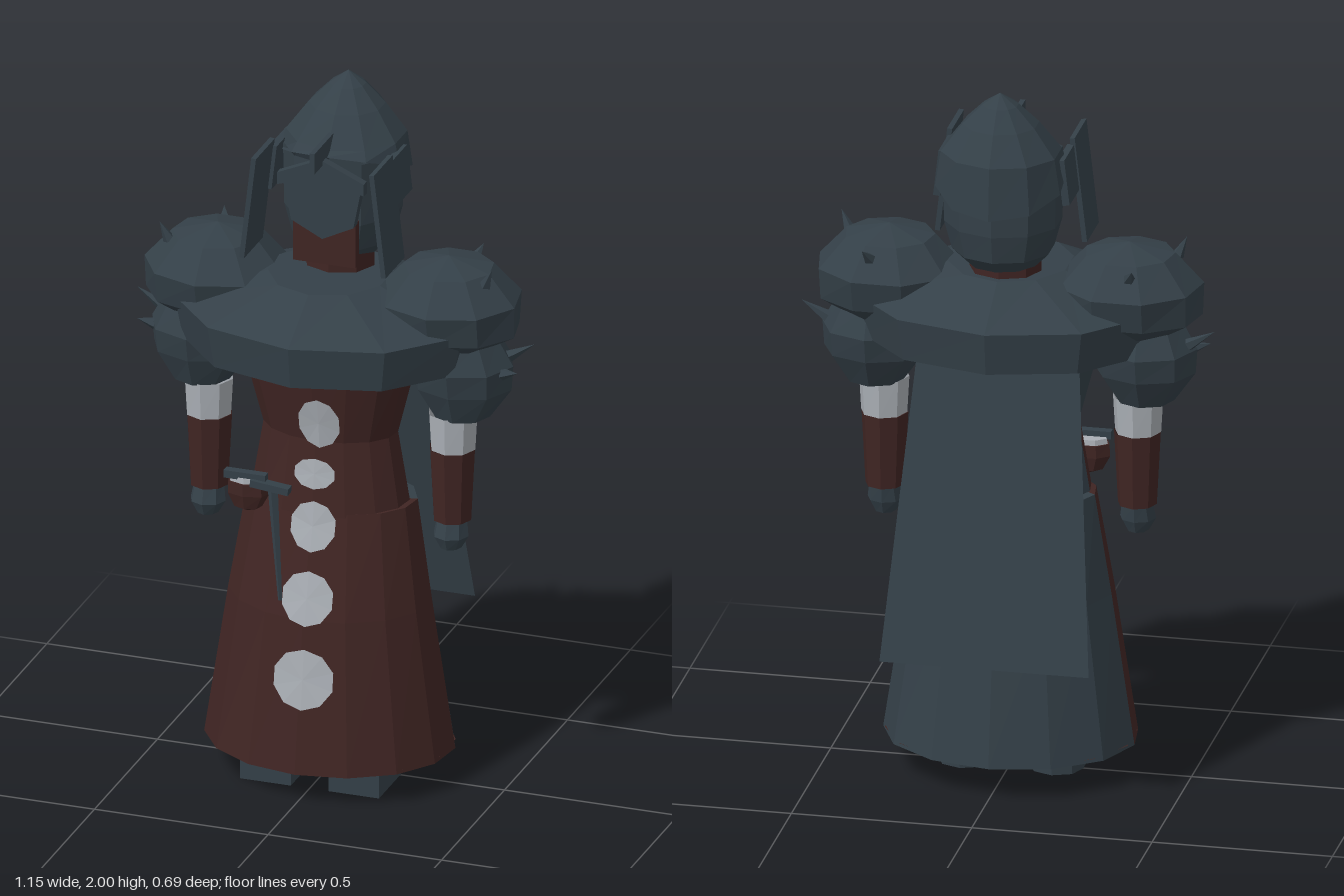
import * as THREE from 'three';

const mat = (name, color) => {
  const m = new THREE.MeshStandardMaterial({ color, side: THREE.DoubleSide });
  m.name = name;
  return m;
};

export function createModel() {
  const model = new THREE.Group();
  model.name = 'armouredFigure';
  const slate = mat('slate', 0x344048);
  const maroon = mat('maroon', 0x402523);
  const pale = mat('pale', 0xa9aeb4);

  // Adds a faceted mesh
  const add = (name, geo, material, x = 0, y = 0, z = 0) => {
    const g = geo.index ? geo.toNonIndexed() : geo;
    g.computeVertexNormals();
    const mesh = new THREE.Mesh(g, material);
    mesh.name = name;
    mesh.position.set(x, y, z);
    model.add(mesh);
    return mesh;
  };
  const box = (w, h, d) => new THREE.BoxGeometry(w, h, d);

  // Skin over elliptical rings [y, rx, rz, zCentre], listed from bottom to top
  const rings = (rows, n, from = 0, sweep = Math.PI * 2) => {
    const pos = [], idx = [];
    rows.forEach(([y, rx, rz, zc = 0], r) => {
      for (let i = 0; i <= n; i++) {
        const a = from + (sweep * i) / n;
        pos.push(rx * Math.sin(a), y, zc + rz * Math.cos(a));
        if (r && i) {
          const d = r * (n + 1) + i, b = d - n - 1;
          idx.push(b - 1, b, d, b - 1, d, d - 1);
        }
      }
    });
    const g = new THREE.BufferGeometry();
    g.setAttribute('position', new THREE.Float32BufferAttribute(pos, 3));
    g.setIndex(idx);
    return g;
  };

  // Robe: maroon front, slate back
  const skirt = [[0.09, 0.35, 0.29, 0], [0.52, 0.285, 0.225, 0], [0.81, 0.24, 0.167, -0.015], [0.815, 0.2, 0.13, 0]];
  const torso = [[0.8, 0.225, 0.155, 0], [1.01, 0.19, 0.125, 0], [1.26, 0.255, 0.16, 0.01]];
  const half = 1.67;
  for (const [name, rows] of [['skirt', skirt], ['torso', torso]]) {
    add(name + 'Front', rings(rows, 8, -half, half * 2), maroon);
    add(name + 'Back', rings(rows, 6, half, Math.PI * 2 - half * 2), slate);
  }
  add('skirtUnderside', rings([[0.1, 0, 0], [0.1, 0.345, 0.286]], 14), maroon);

  // Pale roundels draped over the robe front
  const sample = (rows, y) => {
    let k = 0;
    while (k < rows.length - 2 && y > rows[k + 1][0]) k++;
    const t = (y - rows[k][0]) / (rows[k + 1][0] - rows[k][0]);
    return rows[k].map((v, i) => v + (rows[k + 1][i] - v) * t);
  };
  for (const [cx, cy, w, h] of [[0.015, 1.07, 0.06, 0.075], [0.003, 0.92, 0.06, 0.043],
    [0.007, 0.775, 0.066, 0.07], [0.008, 0.58, 0.075, 0.075], [0.01, 0.357, 0.088, 0.085]]) {
    const g = new THREE.CircleGeometry(1, 10);
    g.rotateZ(Math.PI / 10);
    const p = g.attributes.position;
    for (let i = 0; i < p.count; i++) {
      const x = cx + p.getX(i) * w, y = cy + p.getY(i) * h;
      const [, rx, rz, zc] = sample(y > 0.81 ? torso : skirt.slice(0, 3), y);
      p.setXYZ(i, x, y, zc + rz * Math.sqrt(1 - (x / rx) ** 2) + 0.006);
    }
    add('roundel', g, pale);
  }

  // Cape: one sloping sheet
  const cape = new THREE.PlaneGeometry(1, 1);
  const cp = cape.attributes.position;
  for (let i = 0; i < cp.count; i++) {
    const top = cp.getY(i) > 0;
    cp.setXYZ(i, cp.getX(i) * (top ? 0.44 : 0.58), top ? 1.3 : 0.4, top ? -0.15 : -0.345);
  }
  add('cape', cape, slate);

  // Shoulder mantle and neck
  add('mantle', rings([[1.25, 0.2, 0.13], [1.25, 0.41, 0.325], [1.37, 0.434, 0.342],
    [1.465, 0.17, 0.18], [1.465, 0, 0]], 10), slate);
  add('neck', rings([[1.42, 0.1, 0.09, -0.07], [1.54, 0.1, 0.09, -0.07]], 8), maroon);

  // Head and helmet
  add('head', rings([[1.5, 0, 0, -0.1], [1.5, 0.1, 0.1, -0.1], [1.54, 0.14, 0.14, -0.1],
    [1.62, 0.162, 0.155, -0.1], [1.8, 0.165, 0.155, -0.1]], 10), slate);
  const dome = rings([[1.74, 0.165, 0.16, -0.12], [1.74, 0.182, 0.172, -0.12], [1.83, 0.166, 0.155, -0.125],
    [1.91, 0.105, 0.1, -0.13], [1.965, 0.05, 0.05, -0.135], [2, 0, 0, -0.14]], 10);
  const dp = dome.attributes.position;
  for (let i = 0; i < dp.count; i++) {
    // rim drops at the nape and rises over the brow
    if (dp.getY(i) < 1.75) dp.setY(i, 1.75 + (dp.getZ(i) + 0.12) * 0.4);
  }
  add('helmet', dome, slate);
  add('crestBlade', box(0.014, 0.06, 0.17), slate, 0, 1.84, 0.065);
  add('lowerFace', box(0.18, 0.13, 0.03), maroon, 0, 1.57, 0.04);

  const poly = (pts, depth) => new THREE.ExtrudeGeometry(
    new THREE.Shape(pts.map(([x, y]) => new THREE.Vector2(x, y))), { depth, bevelEnabled: false });
  add('faceMask', poly([[0, 1.585], [0.09, 1.63], [0.115, 1.76], [0, 1.81], [-0.115, 1.76], [-0.09, 1.63]], 0.03),
    slate, 0, 0, 0.04);
  add('brow', poly([[0, 1.775], [0.125, 1.735], [0.125, 1.77], [0, 1.825], [-0.125, 1.77], [-0.125, 1.735]], 0.025),
    slate, 0, 0, 0.06);

  const spike = (base, dir, len) => {
    const d = new THREE.Vector3(...dir).normalize();
    const m = add('spike', new THREE.ConeGeometry(0.018, len, 5), slate,
      ...new THREE.Vector3(...base).addScaledVector(d, len / 2).toArray());
    m.quaternion.setFromUnitVectors(new THREE.Vector3(0, 1, 0), d);
  };

  // Mirrored parts
  for (const s of [-1, 1]) {
    const side = s > 0 ? 'left' : 'right';
    add(side + 'CheekPlate', box(0.014, 0.3, 0.15), slate, s * 0.187, 1.68, 0.072).rotation.z = s * 0.115;
    add(side + 'EarPlate', box(0.02, 0.13, 0.13), slate, s * 0.172, 1.745, -0.06).rotation.z = s * 0.115;

    add(side + 'UpperPauldron', rings([[1.27, 0, 0, -0.02], [1.3, 0.12, 0.11, -0.02], [1.345, 0.2, 0.165, -0.02],
      [1.435, 0.203, 0.188, -0.02], [1.52, 0.125, 0.12, -0.02], [1.55, 0, 0, -0.02]], 9), slate, s * 0.333);
    add(side + 'LowerPauldron', rings([[1.08, 0, 0, -0.01], [1.095, 0.08, 0.08, -0.01], [1.18, 0.14, 0.12, -0.015],
      [1.25, 0.145, 0.135, -0.015], [1.33, 0.1, 0.1, -0.01]], 8), slate, s * 0.375);
    spike([s * 0.455, 1.5, 0.03], [s * 0.45, 1, 0.2], 0.06);
    spike([s * 0.5, 1.27, -0.04], [s, 0.6, 0], 0.085);
    spike([s * 0.5, 1.24, 0.02], [s, 0.25, 0.2], 0.05);
    spike([s * 0.36, 1.49, -0.15], [s * 0.25, 0.6, -0.6], 0.05);

    // Arm
    add(side + 'Sleeve', rings([[0.995, 0.064, 0.066], [1.1, 0.07, 0.07]], 8), pale, s * 0.352);
    add(side + 'Forearm', rings([[0.785, 0, 0], [0.785, 0.054, 0.056], [0.995, 0.065, 0.067]], 8), maroon, s * 0.35);
    add(side + 'Hand', rings([[0.7, 0, 0, 0.01], [0.705, 0.03, 0.035, 0.01], [0.74, 0.05, 0.05, 0.01],
      [0.79, 0.042, 0.045, 0]], 8), slate, s * 0.35);

    // Leg and boot
    add(side + 'Leg', rings([[0, 0, 0], [0, 0.075, 0.072], [0.3, 0.075, 0.072]], 8), slate, s * 0.127);
    add(side + 'Boot', box(0.146, 0.09, 0.17), slate, s * 0.127, 0.045, 0.085);
  }

  // Scabbard loop and sword at the right hip
  add('hipPouch', rings([[0.795, 0, 0], [0.81, 0.04, 0.03], [0.85, 0.062, 0.04], [0.885, 0.06, 0.04],
    [0.885, 0, 0]], 7), maroon, -0.18, 0, 0.165);
  add('pouchTrim', rings([[0.885, 0.055, 0.035], [0.9, 0.052, 0.033], [0.9, 0, 0]], 7), pale, -0.18, 0, 0.165);
  add('swordGrip', box(0.12, 0.022, 0.025), slate, -0.18, 0.905, 0.18);
  add('swordGuard', box(0.11, 0.02, 0.03), slate, -0.105, 0.887, 0.19).rotation.z = -0.1;
  const blade = add('swordBlade', new THREE.CylinderGeometry(0.015, 0.006, 0.32, 4), slate, -0.083, 0.73, 0.205);
  blade.rotation.set(-0.17, 0, 0.13);

  return model;
}
